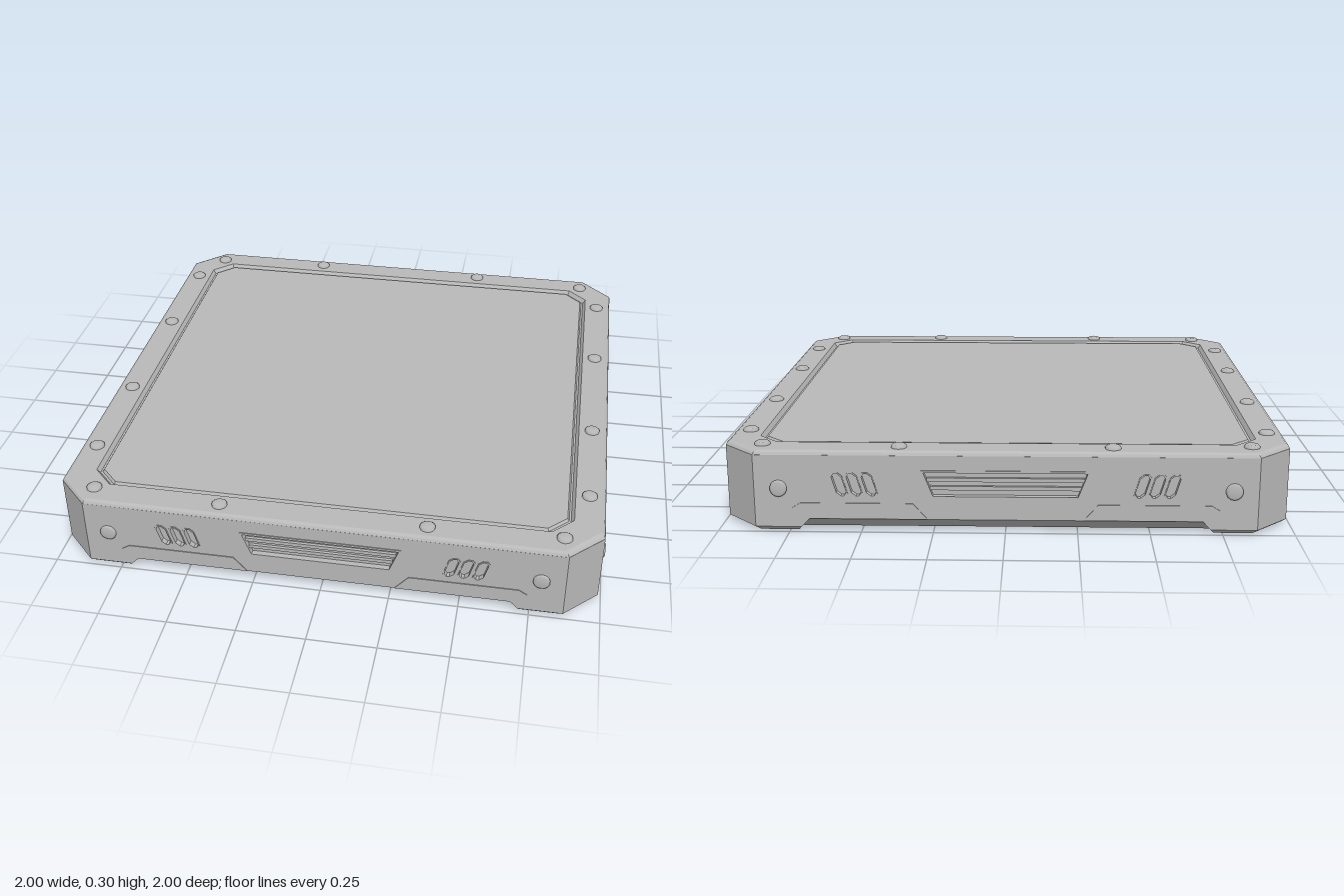
import * as THREE from 'three';

const grey = new THREE.MeshStandardMaterial({ color: 0xb8b8b8 });
grey.name = 'plain grey';

function add(parent, name, geometry) {
  const mesh = new THREE.Mesh(geometry, grey);
  mesh.name = name;
  parent.add(mesh);
  return mesh;
}

// Square with cut corners, as a horizontal ring of eight points
function octagon(h, cut, y) {
  const k = h - cut;
  return [[h, -k], [h, k], [k, h], [-k, h], [-h, k], [-h, -k], [-k, -h], [k, -h]]
    .map(([x, z]) => new THREE.Vector3(x, y, z));
}

// Flat-faced skin through a stack of rings, with optional end caps
function loft(rings, capFirst, capLast) {
  const pts = [];
  const n = rings[0].length;
  const middle = (r) => r.reduce((s, p) => s.add(p), new THREE.Vector3()).divideScalar(n);
  const first = rings[0], last = rings[rings.length - 1];
  for (let i = 0; i < n; i++) {
    const j = (i + 1) % n;
    for (let r = 0; r < rings.length - 1; r++) {
      const a = rings[r][i], b = rings[r][j], c = rings[r + 1][j], d = rings[r + 1][i];
      pts.push(a, d, c, a, c, b);
    }
    if (capFirst) pts.push(middle(first), first[i], first[j]);
    if (capLast) pts.push(middle(last), last[j], last[i]);
  }
  const g = new THREE.BufferGeometry().setFromPoints(pts);
  g.computeVertexNormals();
  return g;
}

const poly = (points) => points.map(([x, y]) => new THREE.Vector2(x, y));

function plate(points, holes, z, depth) {
  const shape = new THREE.Shape(poly(points));
  holes.forEach((h) => shape.holes.push(new THREE.Path(poly(h))));
  const g = new THREE.ExtrudeGeometry(shape, { depth, bevelEnabled: false });
  return g.translate(0, 0, z);
}

// Low domed rivet standing on y = 0
function rivet(r, h) {
  const profile = [[r, -0.004], [r, h * 0.5], [r * 0.75, h], [0, h]];
  return new THREE.LatheGeometry(poly(profile), 14);
}

// Leaning slot with clipped corners
function slot(x, w, lean, grow) {
  const y0 = 0.13 - grow, y1 = 0.21 + grow, a = w / 2 + grow, c = 0.012;
  const at = (dx, y) => [x + dx + lean * (y - 0.17), y];
  return [at(-a + c, y0), at(a - c, y0), at(a, y0 + c), at(a, y1 - c),
    at(a - c, y1), at(-a + c, y1), at(-a, y1 - c), at(-a, y0 + c)];
}

function grille(grow) {
  return [[-0.25 - grow, 0.13 - grow], [0.25 + grow, 0.13 - grow],
    [0.283 + grow, 0.215 + grow], [-0.283 - grow, 0.215 + grow]];
}

// One side wall facing +z
function sideWall(slots) {
  const wall = new THREE.Group();
  const pitch = slots === 3 ? 0.052 : 0.043;
  const width = slots === 3 ? 0.034 : 0.026;
  const holes = [grille(0)];
  const rims = [[grille(0.008), grille(0)]];
  for (const s of [-1, 1]) {
    for (let i = 0; i < slots; i++) {
      const x = s * 0.523 + (i - (slots - 1) / 2) * pitch;
      holes.push(slot(x, width, s * 0.3, 0));
      rims.push([slot(x, width, s * 0.3, 0.004), slot(x, width, s * 0.3, 0)]);
    }
    // Lower step between the grille and the corner
    const trim = [[0.27, 0.046], [0.74, 0.046], [0.74, 0.085], [0.71, 0.103], [0.32, 0.103]];
    add(wall, 'lowerTrim', plate(trim.map(([x, y]) => [s * x, y]), [], 0.989, 0.004));
    const bolt = add(wall, 'sideRivet', rivet(0.03, 0.01));
    bolt.rotation.x = Math.PI / 2;
    bolt.position.set(s * 0.785, 0.155, 0.99);
  }
  const outline = [[-0.87, 0.045], [0.87, 0.045], [0.87, 0.275], [-0.87, 0.275]];
  add(wall, 'wallPanel', plate(outline, holes, 0.97, 0.02));
  rims.forEach(([outer, inner]) => add(wall, 'ventRim', plate(outer, [inner], 0.989, 0.004)));
  // Horizontal slats inside the grille
  for (const y of [0.157, 0.187]) {
    const half = 0.25 + (y - 0.13) * 0.39;
    add(wall, 'grilleSlat', new THREE.BoxGeometry(half * 2, 0.014, 0.014)).position.set(0, y, 0.976);
  }
  return wall;
}

// Corner post and foot at +x +z
function corner() {
  const g = new THREE.Group();
  const ring = (p, y) => p.map(([x, z]) => new THREE.Vector3(x, y, z));
  const post = [[0.93, 0.8], [0.99, 0.87], [0.87, 0.99], [0.8, 0.93]];
  add(g, 'cornerPost', loft([ring(post, 0.045), ring(post, 0.275)], true, true));
  const foot = (inner, outer, y) => {
    const c = outer - 0.12;
    return ring([[outer, inner], [outer, c], [c, outer], [inner, outer], [inner, inner]], y);
  };
  add(g, 'foot', loft([foot(0.72, 0.975, 0), foot(0.71, 0.99, 0.015), foot(0.68, 0.99, 0.046)], true, true));
  return g;
}

export function createModel() {
  const model = new THREE.Group();
  model.name = 'floorTile';

  // Body behind the walls, and the sloping underside
  add(model, 'core', loft([octagon(0.972, 0.12, 0.045), octagon(0.972, 0.12, 0.274)], false, true));
  add(model, 'underside', loft([octagon(0.94, 0.12, 0.003), octagon(0.99, 0.12, 0.045)], true, false));

  // Top frame with bevelled edges, and the inset panel
  add(model, 'topFrame', loft([octagon(0.99, 0.12, 0.274), octagon(0.985, 0.12, 0.284),
    octagon(0.975, 0.119, 0.29), octagon(0.88, 0.075, 0.29), octagon(0.869, 0.07, 0.274)], false, false));
  add(model, 'topPanel', loft([octagon(0.862, 0.068, 0.274), octagon(0.856, 0.066, 0.284)], false, true));

  // Four walls and corners
  for (let k = 0; k < 4; k++) {
    const wall = sideWall(k % 2 ? 4 : 3);
    wall.name = ['frontWall', 'leftWall', 'backWall', 'rightWall'][k];
    const post = corner();
    post.name = 'corner' + (k + 1);
    wall.rotation.y = post.rotation.y = k * Math.PI / 2;
    model.add(wall, post);
  }

  // Rivets on the top frame
  for (const s of [-1, 1]) {
    const spots = [[s * 0.85, -0.91], [s * 0.85, 0.91], [s * 0.37, -0.935], [s * 0.375, 0.93]];
    for (const z of [-0.735, -0.295, 0.245, 0.66]) spots.push([s * 0.93, z]);
    for (const [x, z] of spots) add(model, 'topRivet', rivet(0.028, 0.012)).position.set(x, 0.29, z);
  }
  return model;
}
